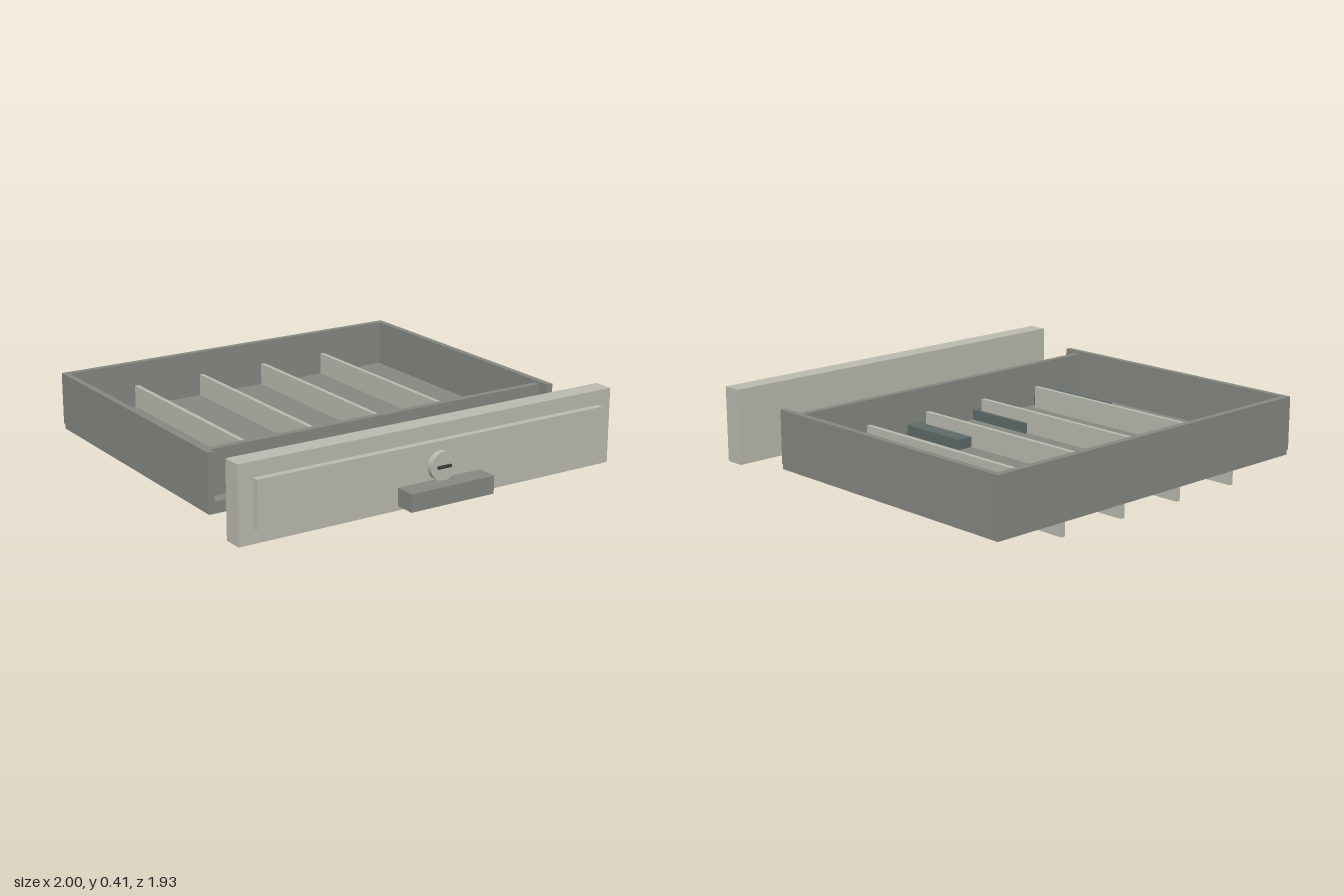
import * as THREE from 'three';

export function createModel() {
  const model = new THREE.Group();
  const mat = (name, color) => {
    const m = new THREE.MeshStandardMaterial({ color });
    m.name = name;
    return m;
  };
  const pale = mat('pale stone', 0xbab9ae);
  const grey = mat('tray grey', 0x858781);
  const teal = mat('slate teal', 0x5d6a68);
  const dark = mat('keyhole dark', 0x3a3d3b);

  // Box given by its extents along each axis
  const box = (name, material, [x0, x1], [y0, y1], [z0, z1], parent = model) => {
    const mesh = new THREE.Mesh(new THREE.BoxGeometry(x1 - x0, y1 - y0, z1 - z0), material);
    mesh.position.set((x0 + x1) / 2, (y0 + y1) / 2, (z0 + z1) / 2);
    mesh.name = name;
    parent.add(mesh);
    return mesh;
  };

  // Tray: floor slab, side walls, back wall and recessed front wall
  const tray = new THREE.Group();
  tray.name = 'tray';
  model.add(tray);
  box('floor', grey, [-0.941, 0.941], [0.074, 0.13], [-0.963, 0.481], tray);
  box('leftWall', grey, [0.915, 0.945], [0.1, 0.358], [-0.967, 0.482], tray);
  box('rightWall', grey, [-0.945, -0.915], [0.1, 0.358], [-0.967, 0.482], tray);
  box('backWall', grey, [-0.915, 0.915], [0.1, 0.358], [-0.967, -0.935], tray);
  box('innerFrontWall', grey, [-0.915, 0.915], [0.1, 0.345], [0.385, 0.417], tray);

  // Thin dividers running through the floor
  for (const x of [-0.555, -0.186, 0.179, 0.546]) {
    box('divider', pale, [x - 0.011, x + 0.011], [0, 0.24], [-0.945, 0.338]);
  }

  // Flat blocks lying against the inner front wall
  for (const x of [-0.675, -0.25, 0.177, 0.61]) {
    box('block', teal, [x - 0.092, x + 0.092], [0.13, 0.18], [0.015, 0.385]);
  }

  // Detached drawer front with raised panel and handle
  box('drawerFront', pale, [-1, 1], [0.052, 0.415], [0.734, 0.83]);
  box('raisedPanel', pale, [-0.927, 0.927], [0.12, 0.345], [0.83, 0.864]);
  box('handle', grey, [-0.222, 0.222], [0.089, 0.173], [0.864, 0.966]);

  // Round lock with keyhole slot
  const lock = new THREE.Mesh(new THREE.CylinderGeometry(0.067, 0.067, 0.03, 32), pale);
  lock.rotation.x = Math.PI / 2;
  lock.position.set(0, 0.237, 0.879);
  lock.name = 'lock';
  model.add(lock);
  box('keySlot', dark, [-0.036, 0.036], [0.231, 0.243], [0.892, 0.905]);

  return model;
}
